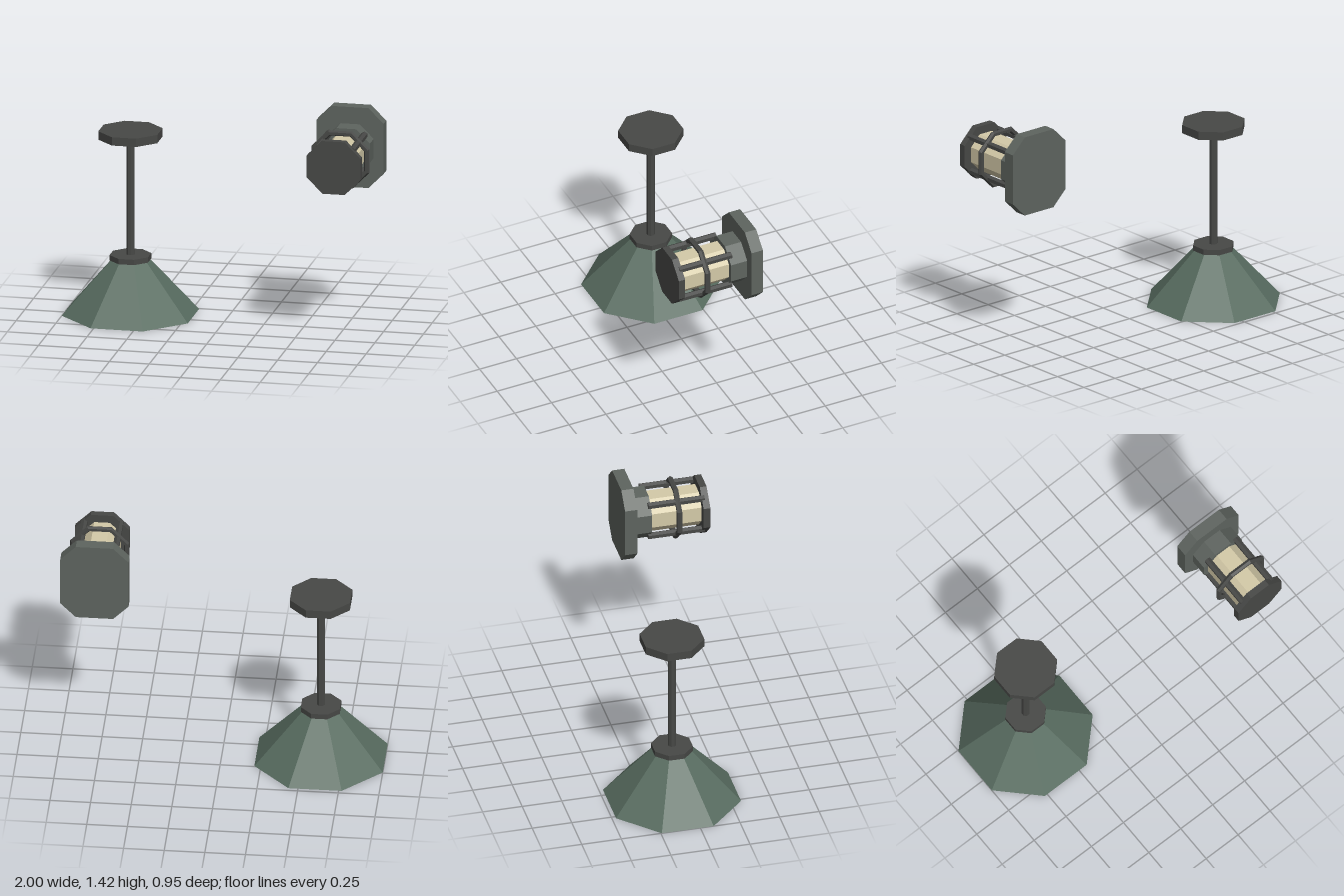
import * as THREE from 'three';

const K = Math.cos(Math.PI / 8); // apothem / circumradius of an octagon

const mat = (color, side = THREE.FrontSide) =>
  new THREE.MeshStandardMaterial({ color, flatShading: true, side });
const metal = mat(0x474846);
const plateMetal = mat(0x5e645f);
const green = mat(0x586c60, THREE.DoubleSide);
const cream = mat(0xd6cbb4, THREE.DoubleSide);
const glass = mat(0xd4caa8);
const bulbGlow = mat(0xf0d69a);

function add(parent, name, geometry, material) {
  const mesh = new THREE.Mesh(geometry, material);
  mesh.name = name;
  parent.add(mesh);
  return mesh;
}

// Octagonal prism with flat sides on the axes, spanning from..to along y
function octagon(apothem, from, to) {
  return new THREE.CylinderGeometry(apothem / K, apothem / K, to - from, 8)
    .rotateY(Math.PI / 8)
    .translate(0, (from + to) / 2, 0);
}

// The same prism laid along z
const octagonZ = (apothem, from, to) => octagon(apothem, from, to).rotateX(Math.PI / 2);

// Eight-sided lathe from [apothem, height] pairs
function octLathe(points) {
  const profile = points.map(([r, y]) => new THREE.Vector2(r / K, y));
  return new THREE.LatheGeometry(profile, 8, Math.PI / 8);
}

function pendantLamp() {
  const lamp = new THREE.Group();
  lamp.name = 'pendantLamp';
  add(lamp, 'ceilingCanopy', octagon(0.185, 1.112, 1.165), metal);
  add(lamp, 'rod', octagon(0.024, 0.36, 1.12), metal);
  add(lamp, 'collar', octagon(0.12, 0.338, 0.372), metal);
  // Shade with a thick rim, and its pale lining
  add(lamp, 'shade', octLathe([[0.37, 0.004], [0.37, 0], [0.395, 0], [0.11, 0.34]]), green);
  add(lamp, 'shadeLining', octLathe([[0.37, 0.002], [0.1, 0.325], [0, 0.325]]), cream);
  // Socket and bulb inside the shade
  add(lamp, 'socket', octagon(0.05, 0.23, 0.33), metal);
  add(lamp, 'bulb', new THREE.SphereGeometry(0.105, 8, 6).rotateY(Math.PI / 8).translate(0, 0.17, 0), bulbGlow);
  lamp.position.set(-0.605, 0, -0.08);
  return lamp;
}

function wallLamp() {
  const lamp = new THREE.Group();
  lamp.name = 'wallLamp';
  // Wall plate with cut corners
  const w = 0.21, h = 0.255, c = 0.095;
  const outline = new THREE.Shape([
    [w, c - h], [w, h - c], [w - c, h], [c - w, h],
    [-w, h - c], [-w, c - h], [c - w, -h], [w - c, -h],
  ].map(([x, y]) => new THREE.Vector2(x, y)));
  const plate = new THREE.ExtrudeGeometry(outline, { depth: 0.077, bevelEnabled: false });
  add(lamp, 'wallPlate', plate.translate(0, 0, -0.077), plateMetal);
  add(lamp, 'neck', octagonZ(0.148, 0, 0.11), plateMetal);
  add(lamp, 'glass', octagonZ(0.117, 0.11, 0.43), glass);
  add(lamp, 'endCap', octagonZ(0.168, 0.43, 0.473), metal);
  // Cage: four bars and one ring
  for (const sx of [-1, 1]) {
    for (const sy of [-1, 1]) {
      const bar = new THREE.CylinderGeometry(0.022, 0.022, 0.355, 6).rotateX(Math.PI / 2);
      add(lamp, 'cageBar', bar.translate(0.11 * sx, 0.11 * sy, 0.27), metal);
    }
  }
  const ring = new THREE.TorusGeometry(0.179, 0.018, 6, 8).rotateZ(Math.PI / 8);
  add(lamp, 'cageRing', ring.translate(0, 0, 0.278), metal);
  lamp.position.set(0.79, 1.165, 0);
  return lamp;
}

export function createModel() {
  const model = new THREE.Group();
  model.name = 'lamps';
  model.add(pendantLamp(), wallLamp());
  return model;
}
